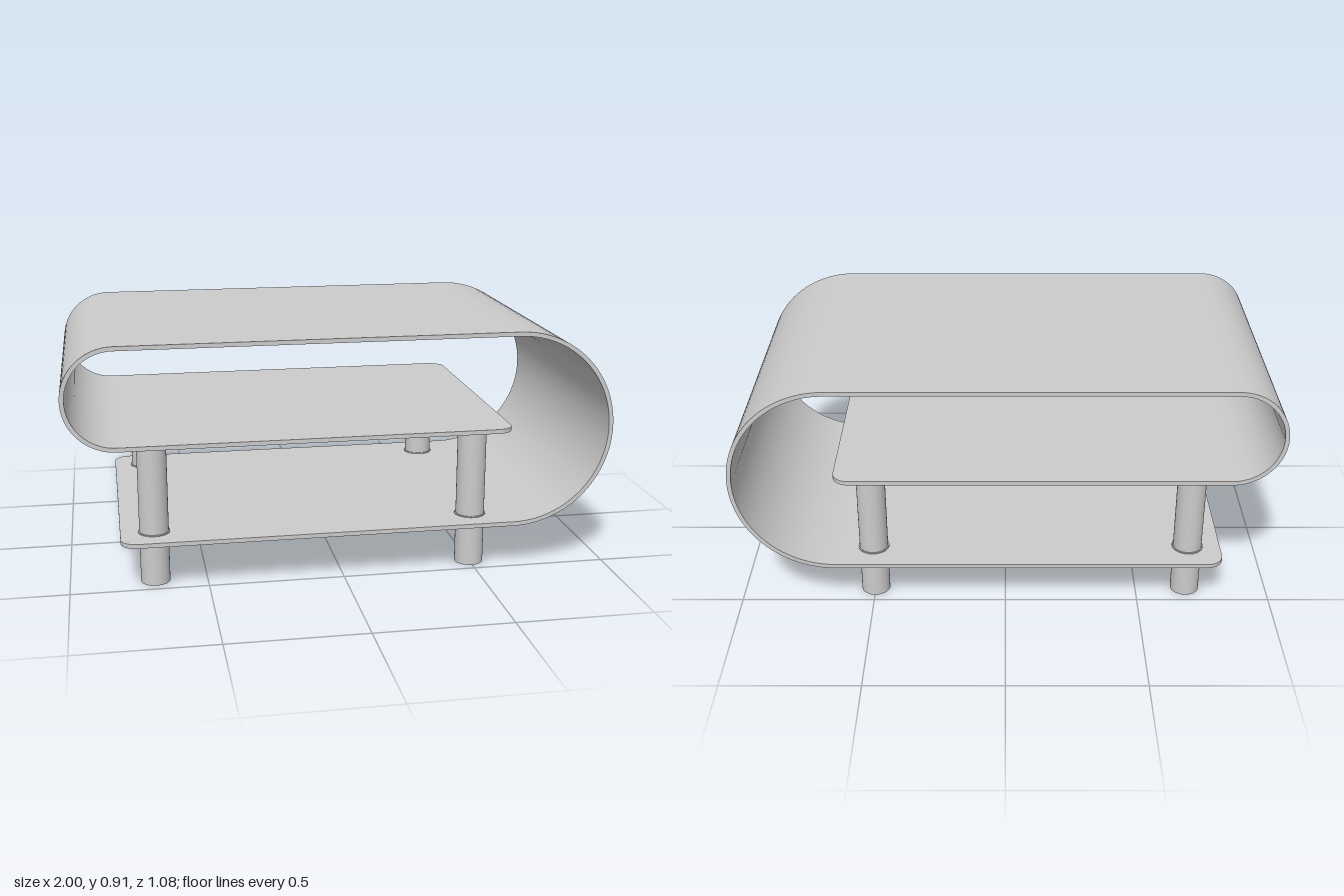
import * as THREE from 'three';

const HALF_DEPTH = 0.541, THICK = 0.016, CORNER = 0.06;
const material = new THREE.MeshStandardMaterial({ color: 0xcccccc, side: THREE.DoubleSide });

// Centre line of the bent panel: shelf, small bend, top, large bend, lower shelf
function panelStations() {
  const list = [];
  const add = (x, y, nx, ny, w = HALF_DEPTH) => list.push({ x, y, nx, ny, w });
  // rounded plan corners at a free end
  const freeEnd = (x, y, dir, reverse) => {
    const n = 10;
    for (let k = 0; k <= n; k++) {
      const a = ((reverse ? n - k : k) / n) * Math.PI / 2;
      add(x + dir * CORNER * (1 - Math.cos(a)), y, 0, -1, HALF_DEPTH - CORNER * (1 - Math.sin(a)));
    }
  };
  const bend = (cx, cy, r, start) => {
    const n = 48;
    for (let k = 0; k <= n; k++) {
      const a = start - (k / n) * Math.PI;
      add(cx + r * Math.cos(a), cy + r * Math.sin(a), Math.cos(a), Math.sin(a));
    }
  };
  const rSmall = 0.1875 - THICK / 2, rLarge = 0.3675 - THICK / 2;
  freeEnd(0.626, 0.7225 - rSmall, -1, false);
  bend(-0.8125, 0.7225, rSmall, -Math.PI / 2);
  bend(0.6325, 0.5425, rLarge, Math.PI / 2);
  freeEnd(-0.813, 0.5425 - rLarge, 1, true);
  return list;
}

// Loft a thin rectangle along the stations, with a hard edge between its four sides
function panelGeometry() {
  const rings = panelStations().map(({ x, y, nx, ny, w }) =>
    [[1, -1], [1, 1], [-1, 1], [-1, -1]].map(([o, s]) =>
      [x + nx * o * THICK / 2, y + ny * o * THICK / 2, s * w]));
  const positions = [], index = [];
  const quad = (a, b, c, d) => index.push(a, b, c, a, c, d);
  for (let k = 0; k < 4; k++) {
    const base = positions.length / 3;
    rings.forEach((ring, i) => {
      positions.push(...ring[k], ...ring[(k + 1) % 4]);
      const v = base + i * 2;
      if (i > 0) quad(v - 2, v - 1, v + 1, v);
    });
  }
  // end caps
  for (const corners of [[...rings[0]].reverse(), rings[rings.length - 1]]) {
    const v = positions.length / 3;
    positions.push(...corners.flat());
    quad(v, v + 1, v + 2, v + 3);
  }
  const geometry = new THREE.BufferGeometry();
  geometry.setAttribute('position', new THREE.Float32BufferAttribute(positions, 3));
  geometry.setIndex(index);
  geometry.computeVertexNormals();
  return geometry;
}

export function createModel() {
  const group = new THREE.Group();
  group.name = 'sideTable';

  const panel = new THREE.Mesh(panelGeometry(), material);
  panel.name = 'bentPanel';
  group.add(panel);

  // Legs run from the floor through the lower shelf to the middle shelf
  const legHeight = 0.536;
  const legGeometry = new THREE.CylinderGeometry(0.0535, 0.0535, legHeight, 48);
  const collarGeometry = new THREE.CylinderGeometry(0.058, 0.058, 0.024, 48);
  for (const x of [-0.69, 0.499]) {
    for (const z of [-0.415, 0.415]) {
      const leg = new THREE.Mesh(legGeometry, material);
      leg.name = 'leg';
      leg.position.set(x, legHeight / 2, z);
      // thin ring where the leg passes the lower shelf
      const collar = new THREE.Mesh(collarGeometry, material);
      collar.name = 'legCollar';
      collar.position.set(x, 0.183, z);
      group.add(leg, collar);
    }
  }
  return group;
}
